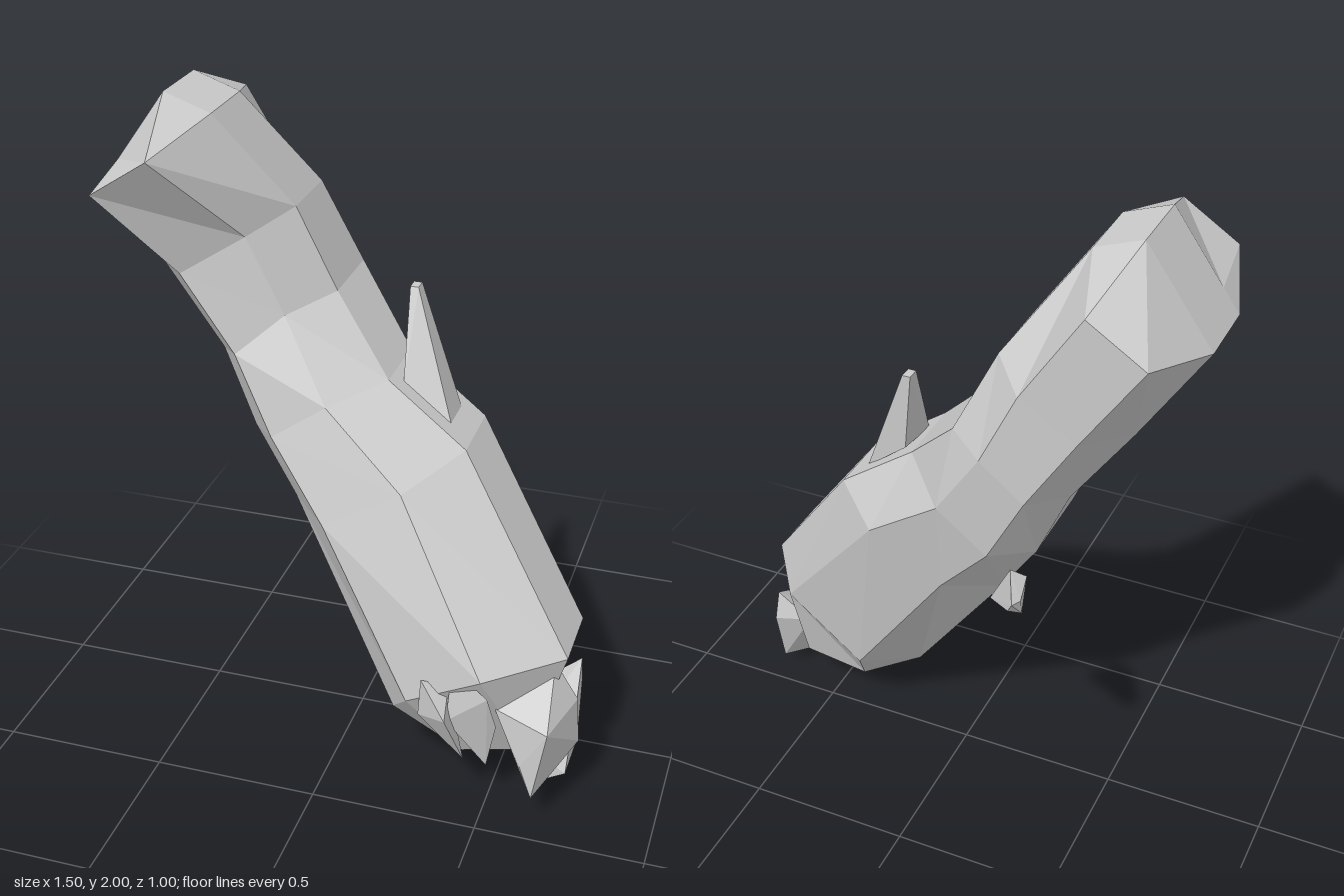
import * as THREE from 'three';
import { ConvexGeometry } from 'three/addons/geometries/ConvexGeometry.js';

const material = new THREE.MeshStandardMaterial({ color: 0xcccccc, flatShading: true });

// Each ring holds four stations from the upper side to the under side:
// x, y, front z, back z, and optionally x, y of the back point where it differs.
const rings = [
  [[-0.55, 2.0, 0.09, -0.13], [-0.55, 2.0, 0.09, -0.13], [-0.7, 1.79, 0.09, -0.13], [-0.7, 1.79, 0.09, -0.13]],
  [[-0.41, 1.95, 0.09, -0.13], [-0.49, 1.89, 0.365, -0.385], [-0.66, 1.78, 0.365, -0.385], [-0.75, 1.72, 0.09, -0.13]],
  [[-0.21, 1.66, -0.03, -0.26], [-0.31, 1.61, 0.12, -0.37], [-0.48, 1.51, 0.2, -0.37], [-0.58, 1.47, 0.06, -0.2]],
  [[-0.09, 1.41, -0.04, -0.29], [-0.2, 1.38, 0.11, -0.365], [-0.33, 1.27, 0.18, -0.36], [-0.41, 1.23, 0.06, -0.22]],
  [[0.1, 1.2, 0.07, -0.16], [-0.05, 1.15, 0.2, -0.32], [-0.21, 1.04, 0.22, -0.33], [-0.31, 1.0, 0.08, -0.2]],
  [[0.34, 1.02, 0.09, -0.14], [0.2, 0.95, 0.28, -0.25], [-0.03, 0.82, 0.3, -0.25], [-0.18, 0.79, 0.1, -0.14]],
  [[0.71, 0.51, 0.3, 0.08], [0.49, 0.48, 0.45, -0.05, 0.61, 0.43], [0.26, 0.34, 0.41, -0.09, 0.34, 0.27], [0.19, 0.23, 0.3, 0.05]],
  [[0.6, 0.14, 0.27, 0.03], [0.6, 0.14, 0.27, 0.03], [0.4, 0.09, 0.27, 0.05], [0.4, 0.09, 0.27, 0.05]],
];

// Eight-sided skin through all rings, closed at both ends
function trunkGeometry() {
  const points = [], index = [], n = 8;
  for (const ring of rings) {
    for (const [x, y, zf] of ring) points.push(x, y, zf);
    for (const [x, y, , zb, bx = x, by = y] of [...ring].reverse()) points.push(bx, by, zb);
  }
  for (let r = 0; r < rings.length - 1; r++) {
    for (let i = 0; i < n; i++) {
      const a = r * n + i, b = r * n + (i + 1) % n;
      index.push(a, b, a + n, b, b + n, a + n);
    }
  }
  const last = (rings.length - 1) * n;
  index.push(0, 4, 2, 0, 6, 4);
  index.push(last, last + 2, last + 4, last, last + 4, last + 6);
  const g = new THREE.BufferGeometry();
  g.setAttribute('position', new THREE.Float32BufferAttribute(points, 3));
  g.setIndex(index);
  const flat = g.toNonIndexed();
  flat.computeVertexNormals();
  return flat;
}

const hull = (points) => new ConvexGeometry(points.map((p) => new THREE.Vector3(...p)));

// Faceted solids described by their corners
const solids = {
  upperBranch: [
    [0.13, 1.17, 0.02], [0.14, 1.18, -0.12], [0.28, 1.06, 0.03], [0.28, 1.06, -0.09],
    [0.115, 1.43, -0.09], [0.115, 1.43, -0.13], [0.14, 1.43, -0.09], [0.14, 1.43, -0.13],
  ],
  backBranch: [
    [-0.31, 0.96, -0.27], [-0.25, 0.95, -0.25], [-0.18, 0.81, -0.23], [-0.25, 0.85, -0.22],
    [-0.36, 1.04, -0.5], [-0.37, 1.03, -0.46], [-0.37, 0.98, -0.45], [-0.34, 1.0, -0.48],
  ],
  frontRootSmall: [
    [0.31, 0.44, 0.43], [0.3, 0.31, 0.42], [0.4, 0.36, 0.5], [0.44, 0.18, 0.42],
    [0.38, 0.4, 0.38], [0.36, 0.3, 0.3],
  ],
  frontRootTall: [
    [0.4, 0.5, 0.42], [0.39, 0.32, 0.44], [0.5, 0.14, 0.38], [0.53, 0.3, 0.4],
    [0.51, 0.42, 0.44], [0.45, 0.3, 0.3],
  ],
  sideRoot: [
    [0.67, 0.47, 0.27], [0.52, 0.35, 0.38], [0.69, 0.34, 0.45], [0.74, 0.35, 0.26],
    [0.75, 0.2, 0.26], [0.61, 0.2, 0.43], [0.65, 0.1, 0.44], [0.55, 0.25, 0.28],
  ],
  lowerRoot: [
    [0.61, 0, 0.25], [0.715, 0.05, 0.06], [0.57, 0.14, 0.24], [0.715, 0.06, 0.25],
    [0.71, 0.34, 0.04], [0.72, 0.27, 0.15], [0.6, 0.25, 0.05], [0.71, 0.25, 0.01],
  ],
};

export function createModel() {
  const model = new THREE.Group();
  model.name = 'brokenLog';
  const add = (name, geometry) => {
    const mesh = new THREE.Mesh(geometry, material);
    mesh.name = name;
    model.add(mesh);
  };
  add('trunk', trunkGeometry());
  for (const [name, corners] of Object.entries(solids)) add(name, hull(corners));
  return model;
}
